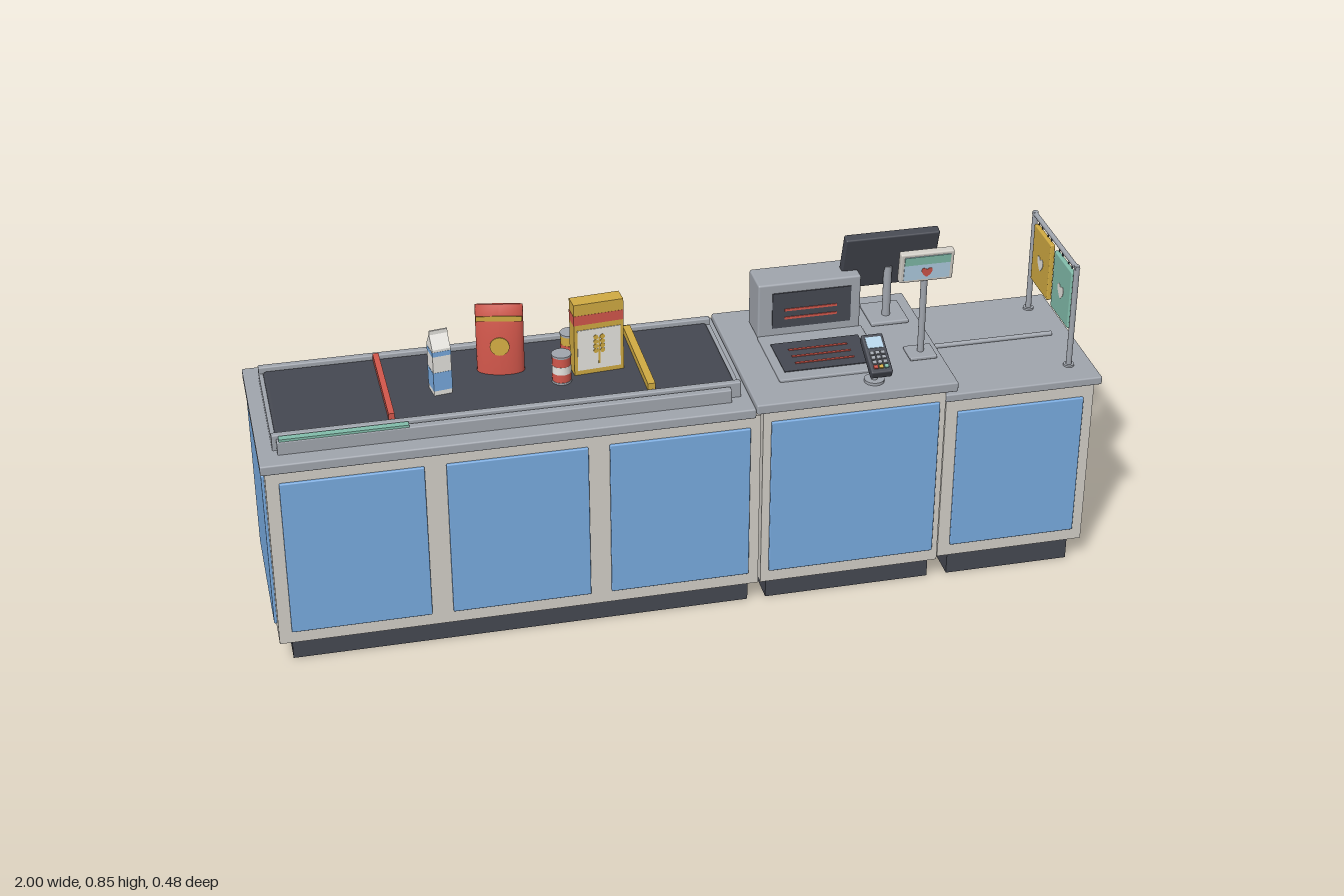
import * as THREE from 'three';
import { RoundedBoxGeometry } from 'three/addons/geometries/RoundedBoxGeometry.js';

const mat = (name, color) => Object.assign(new THREE.MeshStandardMaterial({ color }), { name });

export function createModel() {
  const beige = mat('warmGrey', 0xd2cec7), blue = mat('panelBlue', 0x78aadf), dark = mat('charcoal', 0x454851);
  const steel = mat('steel', 0xa0a5ad), red = mat('red', 0xd2574b), yellow = mat('mustard', 0xd0aa42);
  const mint = mat('mint', 0x82bdab), white = mat('white', 0xebe9e4), pale = mat('screenBlue', 0xb3d1e6);
  const root = new THREE.Group();

  const add = (parent, name, geo, m, x = 0, y = 0, z = 0) => {
    const mesh = new THREE.Mesh(geo, m);
    mesh.name = name;
    mesh.position.set(x, y, z);
    parent.add(mesh);
    return mesh;
  };
  // box given by its limits; r rounds the edges
  const box = (parent, name, m, x0, x1, y0, y1, z0, z1, r = 0) => {
    const s = [x1 - x0, y1 - y0, z1 - z0];
    const geo = r ? new RoundedBoxGeometry(...s, 2, r) : new THREE.BoxGeometry(...s);
    return add(parent, name, geo, m, (x0 + x1) / 2, (y0 + y1) / 2, (z0 + z1) / 2);
  };
  const rod = (parent, name, m, r, h, x, y, z) =>
    add(parent, name, new THREE.CylinderGeometry(r, r, h, 20), m, x, y, z);
  const group = (name, x = 0, y = 0, z = 0, rx = 0, ry = 0) => {
    const g = new THREE.Group();
    g.name = name;
    g.position.set(x, y, z);
    g.rotation.set(rx, ry, 0);
    root.add(g);
    return g;
  };
  const heartGeo = s => {
    const h = new THREE.Shape();
    h.moveTo(0, -s);
    h.bezierCurveTo(-1.6 * s, 0.1 * s, -0.9 * s, 1.4 * s, 0, 0.5 * s);
    h.bezierCurveTo(0.9 * s, 1.4 * s, 1.6 * s, 0.1 * s, 0, -s);
    return new THREE.ExtrudeGeometry(h, { depth: 0.001, bevelEnabled: false, curveSegments: 8 });
  };

  // Three cabinets: body, kick plate, counter top and blue front panels
  const units = [
    { n: 'conveyor', x: [-0.99, 0.16], k: [-0.96, 0.14], y: 0.53, z: [-0.216, 0.217], top: [-1, 0.146, 0.53, 0.555, -0.225, 0.23], panels: [[-0.96, -0.63], [-0.58, -0.25], [-0.2, 0.135]], py: 0.5 },
    { n: 'checkout', x: [0.166, 0.61], k: [0.185, 0.595], y: 0.54, z: [-0.216, 0.217], top: [0.147, 0.635, 0.54, 0.565, -0.225, 0.232], panels: [[0.185, 0.595]], py: 0.51 },
    { n: 'bagging', x: [0.616, 0.986], k: [0.645, 0.955], y: 0.505, z: [-0.213, 0.205], top: [0.61, 1, 0.505, 0.526, -0.209, 0.219], panels: [[0.645, 0.96]], py: 0.47 },
  ];
  for (const u of units) {
    const g = group(u.n + 'Cabinet');
    box(g, u.n + 'Body', beige, ...u.x, 0.06, u.y, ...u.z);
    box(g, u.n + 'KickPlate', dark, ...u.k, 0, 0.062, -0.192, 0.195);
    box(g, u.n + 'Countertop', steel, ...u.top, 0.004);
    for (const p of u.panels) box(g, u.n + 'FrontPanel', blue, ...p, 0.093, u.py, u.z[1] - 0.001, u.z[1] + 0.008, 0.003);
  }
  box(root, 'leftEndPanel', blue, 0.985, 0.993, 0.093, 0.47, -0.177, 0.178, 0.003);
  box(root, 'rightEndPanel', blue, -0.997, -0.989, 0.093, 0.5, -0.18, 0.18, 0.003);

  // Cash drawer on the back
  box(root, 'cashDrawer', beige, 0.215, 0.575, 0.365, 0.487, -0.228, -0.214, 0.003);
  box(root, 'drawerHandle', dark, 0.345, 0.445, 0.452, 0.468, -0.238, -0.227, 0.004);

  // Conveyor belt with side rails and end caps
  const belt = group('conveyorBelt');
  box(belt, 'belt', dark, -0.955, 0.115, 0.55, 0.585, -0.15, 0.15, 0.008);
  for (const s of [-1, 1]) box(belt, 'sideRail', steel, -0.965, 0.125, 0.55, 0.594, s * 0.157 - 0.008, s * 0.157 + 0.008, 0.003);
  for (const x of [-0.965, 0.115]) box(belt, 'endCap', steel, x, x + 0.01, 0.55, 0.578, -0.15, 0.15);
  box(belt, 'frontLedge', steel, -0.955, 0.098, 0.55, 0.588, 0.168, 0.187, 0.003);
  box(belt, 'mintStrip', mint, -0.95, -0.655, 0.588, 0.594, 0.169, 0.186);
  box(belt, 'redDivider', red, -0.696, -0.682, 0.585, 0.602, -0.145, 0.14);
  box(belt, 'yellowDivider', yellow, -0.092, -0.074, 0.585, 0.603, -0.145, 0.14);

  // Milk carton with a gabled top
  const milk = group('milkCarton', -0.56, 0.585, 0.03, 0, 0.15);
  box(milk, 'cartonBody', white, -0.022, 0.022, 0, 0.12, -0.022, 0.022);
  box(milk, 'cartonBand', blue, -0.0225, 0.0225, 0.012, 0.06, -0.0225, 0.0225);
  box(milk, 'cartonStripe', blue, -0.0225, 0.0225, 0.102, 0.114, -0.0225, 0.0225);
  const gable = new THREE.Shape([[-0.022, 0], [0.022, 0], [0.002, 0.03], [-0.002, 0.03]].map(p => new THREE.Vector2(...p)));
  const gableMesh = add(milk, 'cartonGable', new THREE.ExtrudeGeometry(gable, { depth: 0.044, bevelEnabled: false }), white, -0.022, 0.12, 0);
  gableMesh.rotation.y = Math.PI / 2;
  box(milk, 'cartonFin', white, -0.022, 0.022, 0.148, 0.16, -0.002, 0.002);

  // Snack bag: a lens section that flattens to the crimped top
  const bag = group('snackBag', -0.408, 0.585, -0.032, 0, -0.2);
  const bagGeo = new THREE.CylinderGeometry(0.056, 0.056, 0.176, 24, 12);
  const bp = bagGeo.attributes.position;
  for (let i = 0; i < bp.count; i++) {
    const t = bp.getY(i) / 0.176 + 0.5;
    bp.setZ(i, bp.getZ(i) * (0.05 + 0.4 * Math.pow(1 - t * t, 0.7)));
  }
  bagGeo.computeVertexNormals();
  add(bag, 'bagBody', bagGeo, red, 0, 0.088, 0);
  box(bag, 'bagStripe', yellow, -0.054, 0.054, 0.137, 0.15, 0.0125, 0.0145);
  const dot = add(bag, 'bagEmblem', new THREE.CylinderGeometry(0.023, 0.023, 0.003, 24), yellow, 0, 0.075, 0.0235);
  dot.rotation.x = Math.PI / 2 - 0.05;

  // Tins
  for (const [name, m, x, z] of [['redTin', red, -0.278, 0.05], ['yellowTin', yellow, -0.24, -0.045]]) {
    const tin = group(name, x, 0.585, z);
    rod(tin, 'tinBody', m, 0.0225, 0.068, 0, 0.036, 0);
    rod(tin, 'tinLabel', m === red ? white : red, 0.0229, 0.02, 0, 0.036, 0);
    for (const y of [0.003, 0.071]) rod(tin, 'tinRim', steel, 0.0235, 0.005, 0, y, 0);
  }

  // Cereal box with a label and an ear of grain
  const cereal = group('cerealBox', -0.186, 0.585, 0.01, 0, 0.08);
  box(cereal, 'boxBody', yellow, -0.06, 0.06, 0, 0.186, -0.02, 0.02);
  box(cereal, 'boxStripe', red, -0.0605, 0.0605, 0.132, 0.157, -0.0205, 0.0205);
  box(cereal, 'boxLabel', white, -0.052, 0.052, 0.012, 0.118, 0.02, 0.0215);
  box(cereal, 'grainStem', yellow, -0.002, 0.002, 0.025, 0.095, 0.021, 0.0225);
  for (let i = 0; i < 4; i++) for (const s of [-1, 1]) {
    const seed = add(cereal, 'grainSeed', new THREE.CylinderGeometry(0.006, 0.006, 0.002, 12), yellow, s * 0.008, 0.06 + i * 0.012, 0.022);
    seed.rotation.x = Math.PI / 2;
  }

  // Scanner: flat plate and upright tower
  const scanner = group('scanner');
  const laser = (x0, x1, y0, y1, z0, z1) => box(scanner, 'laserLine', red, x0, x1, y0, y1, z0, z1);
  box(scanner, 'scannerPlate', steel, 0.225, 0.485, 0.562, 0.572, -0.075, 0.14, 0.003);
  box(scanner, 'scannerGlass', dark, 0.245, 0.463, 0.57, 0.574, -0.028, 0.107);
  for (const z of [0.01, 0.042, 0.074]) laser(0.28, 0.425, 0.573, 0.576, z - 0.003, z + 0.003);
  box(scanner, 'scannerTower', steel, 0.225, 0.48, 0.565, 0.71, -0.163, -0.072, 0.005);
  box(scanner, 'towerWindow', dark, 0.26, 0.455, 0.592, 0.686, -0.073, -0.069);
  for (const y of [0.618, 0.64]) laser(0.29, 0.42, y - 0.003, y + 0.003, -0.07, -0.067);

  // Keyboard behind the tower
  const kb = group('keyboard');
  box(kb, 'keyboardBase', dark, 0.255, 0.465, 0.565, 0.58, -0.243, -0.165, 0.003);
  for (let r = 0; r < 4; r++) for (let c = 0; c < 8; c++) {
    const x = 0.264 + c * 0.0245, z = -0.236 + r * 0.0175;
    box(kb, 'key', c === 0 && r === 0 ? red : c === 0 && r === 1 ? mint : white, x, x + 0.019, 0.579, 0.586, z, z + 0.013);
  }

  // Cashier monitor, screen towards the back
  box(root, 'monitorBase', steel, 0.51, 0.605, 0.565, 0.576, -0.175, -0.07, 0.004);
  rod(root, 'monitorPole', steel, 0.01, 0.14, 0.557, 0.64, -0.108);
  const mon = group('monitor', 0.557, 0.732, -0.108, 0.3);
  box(mon, 'monitorCase', dark, -0.117, 0.117, -0.08, 0.08, -0.012, 0.012, 0.004);
  box(mon, 'monitorScreen', pale, -0.107, 0.107, -0.07, 0.07, -0.0135, -0.011);
  box(mon, 'screenHeader', blue, -0.107, 0.107, 0.047, 0.07, -0.0145, -0.013);
  for (let i = 0; i < 4; i++) box(mon, 'screenRow', i === 3 ? red : white, 0.01, 0.098, 0.026 - i * 0.024, 0.038 - i * 0.024, -0.0145, -0.013);
  box(mon, 'screenCard', white, -0.098, -0.008, -0.058, 0.038, -0.0145, -0.013);
  const tick = add(mon, 'screenBadge', new THREE.CylinderGeometry(0.02, 0.02, 0.002, 24), mint, -0.053, 0.002, -0.015);
  tick.rotation.x = Math.PI / 2;

  // Customer display, leaning slightly forward
  box(root, 'displayBase', steel, 0.553, 0.62, 0.565, 0.574, 0.05, 0.112, 0.003);
  rod(root, 'displayPole', steel, 0.008, 0.22, 0.587, 0.675, 0.08);
  const disp = group('customerDisplay', 0.587, 0.808, 0.087, 0.12);
  box(disp, 'displayCase', beige, -0.065, 0.065, -0.04, 0.04, -0.01, 0.01, 0.004);
  box(disp, 'displayScreen', pale, -0.056, 0.056, -0.032, 0.032, 0.009, 0.0115);
  box(disp, 'displayHeader', mint, -0.056, 0.056, 0.01, 0.032, 0.011, 0.0125);
  add(disp, 'displayHeart', heartGeo(0.014), red, 0, -0.012, 0.0115);

  // Card reader on a short post
  rod(root, 'readerBase', steel, 0.024, 0.008, 0.443, 0.568, 0.18);
  rod(root, 'readerPost', steel, 0.008, 0.07, 0.443, 0.6, 0.18);
  const reader = group('cardReader', 0.443, 0.637, 0.188, 0.46);
  box(reader, 'readerCase', dark, -0.026, 0.026, -0.012, 0.012, -0.055, 0.055, 0.004);
  box(reader, 'readerScreen', pale, -0.019, 0.019, 0.011, 0.0135, -0.045, -0.014);
  for (let r = 0; r < 4; r++) for (let c = 0; c < 3; c++) {
    const x = -0.018 + c * 0.013, z = -0.004 + r * 0.013;
    box(reader, 'readerKey', r === 3 ? [red, yellow, mint][c] : steel, x, x + 0.01, 0.011, 0.016, z, z + 0.009);
  }

  // Bagging end: divider bar and bag rack
  const bar = rod(root, 'dividerBar', steel, 0.006, 0.32, 0.79, 0.53, -0.005);
  bar.rotation.z = Math.PI / 2;
  const rack = group('bagRack', 0.94);
  for (const z of [-0.145, 0.147]) {
    rod(rack, 'rackPost', steel, 0.007, 0.27, 0, 0.66, z);
    rod(rack, 'postFoot', steel, 0.013, 0.006, 0, 0.528, z);
  }
  rod(rack, 'rackBar', steel, 0.006, 0.305, 0, 0.789, 0.001).rotation.x = Math.PI / 2;
  for (const [name, m, z] of [['mintBag', mint, 0.075], ['yellowBag', yellow, -0.069]]) {
    box(rack, name, m, -0.007, 0.005, 0.62, 0.77, z - 0.059, z + 0.059, 0.003);
    const emblem = add(rack, name + 'Emblem', heartGeo(0.02), white, -0.007, 0.69, z);
    emblem.rotation.y = -Math.PI / 2;
    for (const s of [-1, 1]) {
      const hook = add(rack, 'bagHook', new THREE.TorusGeometry(0.012, 0.002, 6, 16, Math.PI), dark, 0, 0.774, z + s * 0.032);
      hook.rotation.y = Math.PI / 2;
    }
  }

  return root;
}
